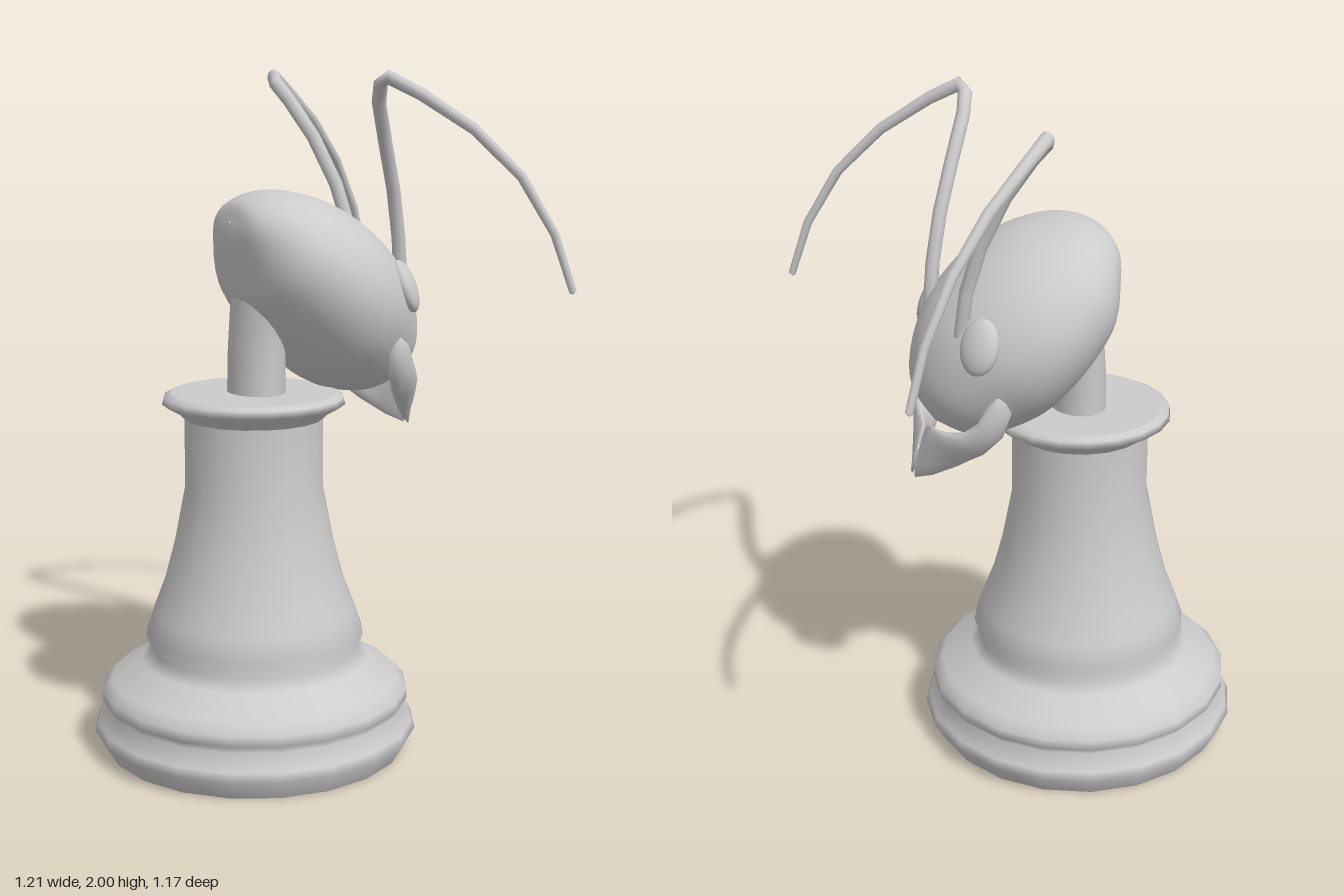
import * as THREE from 'three';

const material = new THREE.MeshStandardMaterial({ color: 0xcccccc });
const V = (x, y, z = 0) => new THREE.Vector3(x, y, z);

function add(group, name, geometry) {
  const mesh = new THREE.Mesh(geometry, material);
  mesh.name = name;
  group.add(mesh);
  return mesh;
}

// Skin through elliptical sections { c: centre, u, v: half axes }
function loft(sections, sides) {
  const positions = [], index = [], last = sections.length - 1;
  sections.forEach(({ c, u, v }, i) => {
    const along = sections[Math.min(i + 1, last)].c.clone().sub(sections[Math.max(i - 1, 0)].c);
    const w = v.clone();
    if (u.clone().cross(w).dot(along) < 0) w.negate();
    for (let j = 0; j < sides; j++) {
      const a = (j / sides) * Math.PI * 2;
      const p = c.clone().addScaledVector(u, Math.cos(a)).addScaledVector(w, Math.sin(a));
      positions.push(p.x, p.y, p.z);
      if (i === last) continue;
      const k = (j + 1) % sides, r = i * sides, n = r + sides;
      index.push(r + j, r + k, n + k, r + j, n + k, n + j);
    }
  });
  const g = new THREE.BufferGeometry();
  g.setAttribute('position', new THREE.Float32BufferAttribute(positions, 3));
  g.setIndex(index);
  g.computeVertexNormals();
  return g;
}

const spline = (points) => new THREE.CatmullRomCurve3(points, false, 'catmullrom', 0.5);

// Turned pedestal; repeated points keep an edge sharp
function pedestal() {
  const profile = [
    [0, 0], [0.45, 0], [0.45, 0], [0.485, 0.06], [0.475, 0.085], [0.44, 0.13], [0.46, 0.155],
    [0.46, 0.185], [0.43, 0.215], [0.34, 0.27], [0.31, 0.3], [0.327, 0.35], [0.303, 0.42],
    [0.272, 0.5], [0.24, 0.62], [0.205, 0.8], [0.205, 1.0], [0.205, 1.0], [0.225, 1.02],
    [0.27, 1.045], [0.265, 1.065], [0.245, 1.075], [0.245, 1.075], [0, 1.075],
  ].map(([r, y]) => new THREE.Vector2(r, y));
  return new THREE.LatheGeometry(profile, 20).translate(-0.118, 0, 0);
}

// Head: upper outline with half width, and lower outline, from back to face
function head() {
  const top = spline([
    [-0.192, 1.575, 0.004], [-0.165, 1.63, 0.115], [-0.08, 1.66, 0.2], [0.02, 1.65, 0.27], [0.12, 1.615, 0.305],
    [0.22, 1.55, 0.315], [0.31, 1.46, 0.29], [0.37, 1.36, 0.235], [0.397, 1.25, 0.17],
    [0.385, 1.175, 0.1], [0.34, 1.1, 0.004],
  ].map((p) => V(...p)));
  const bottom = spline([
    [-0.194, 1.57], [-0.2, 1.52], [-0.19, 1.44], [-0.17, 1.35], [-0.12, 1.27], [-0.05, 1.19],
    [0.02, 1.12], [0.1, 1.075], [0.19, 1.055], [0.26, 1.06], [0.338, 1.098],
  ].map((p) => V(...p)));
  const sections = [];
  for (let i = 0; i <= 40; i++) {
    const t = top.getPoint(i / 40), b = bottom.getPoint(i / 40);
    const width = Math.max(t.z, 0.002);
    t.z = b.z = 0;
    sections.push({
      c: t.clone().add(b).multiplyScalar(0.5),
      u: t.clone().sub(b).multiplyScalar(0.5),
      v: V(0, 0, width),
    });
  }
  return loft(sections, 40);
}

// Neck rising into the back of the head
function neck() {
  return loft([
    [-0.11, 1.06, 0.082, 0.1], [-0.108, 1.2, 0.08, 0.1], [-0.1, 1.32, 0.076, 0.11], [-0.08, 1.42, 0.08, 0.13],
  ].map(([x, y, rx, rz]) => ({ c: V(x, y), u: V(rx, 0), v: V(0, 0, rz) })), 20);
}

// Curved jaw blade: upper edge, lower edge, side offset, half thickness
function mandible(side) {
  const rows = [
    [0.235, 1.243, 0.215, 1.238, 0.243, 0.004], [0.262, 1.22, 0.192, 1.19, 0.24, 0.022],
    [0.29, 1.16, 0.212, 1.12, 0.225, 0.028], [0.322, 1.12, 0.25, 1.06, 0.185, 0.03],
    [0.35, 1.108, 0.31, 1.0, 0.125, 0.026], [0.36, 1.1, 0.37, 0.952, 0.06, 0.02],
    [0.365, 1.09, 0.408, 0.932, 0.014, 0.01], [0.385, 1.02, 0.387, 1.01, 0.012, 0.002],
  ];
  const sections = rows.map(([tx, ty, bx, by, z]) => ({
    c: V((tx + bx) / 2, (ty + by) / 2, z * side),
    u: V((tx - bx) / 2, (ty - by) / 2),
  }));
  sections.forEach((s, i) => {
    const a = sections[Math.max(i - 1, 0)].c, b = sections[Math.min(i + 1, rows.length - 1)].c;
    s.v = s.u.clone().cross(b.clone().sub(a)).normalize().multiplyScalar(rows[i][5]);
  });
  return loft(sections, 12);
}

// Elbowed feeler, thinning towards its tip
function antenna(side) {
  const points = [
    [0.3, 1.39, 0.132], [0.285, 1.52, 0.142], [0.25, 1.66, 0.168], [0.195, 1.8, 0.21],
    [0.14, 1.91, 0.265], [0.118, 1.96, 0.31], [0.125, 1.98, 0.335], [0.2, 1.935, 0.385],
    [0.33, 1.84, 0.455], [0.45, 1.71, 0.515], [0.54, 1.55, 0.553], [0.592, 1.39, 0.575],
  ].map(([x, y, z]) => V(x, y, z * side));
  const last = points.length - 1;
  const sections = points.map((c, i) => {
    const along = points[Math.min(i + 1, last)].clone().sub(points[Math.max(i - 1, 0)]).normalize();
    const radius = i < 7 ? 0.021 : 0.021 - 0.002 * (i - 6);
    const u = V(0.7, 0.3, -0.65 * side).cross(along).normalize();
    return { c, u: u.clone().multiplyScalar(radius), v: along.cross(u).multiplyScalar(radius) };
  });
  // Closed ends
  for (const end of [sections[0], sections[last]]) {
    const cap = { c: end.c.clone(), u: end.u.clone().multiplyScalar(0.02), v: end.v.clone().multiplyScalar(0.02) };
    cap.c.y -= 0.008;
    if (end === sections[0]) sections.unshift(cap);
    else sections.push(cap);
  }
  return loft(sections, 8);
}

export function createModel() {
  const model = new THREE.Group();
  model.name = 'antChessPiece';
  add(model, 'pedestal', pedestal());
  add(model, 'neck', neck());
  add(model, 'head', head());

  for (const side of [1, -1]) {
    const label = side > 0 ? 'left' : 'right';
    add(model, label + 'Mandible', mandible(side));
    add(model, label + 'Antenna', antenna(side));
    const eye = add(model, label + 'Eye', new THREE.SphereGeometry(1, 20, 14));
    eye.scale.set(0.06, 0.08, 0.03);
    eye.position.set(0.272, 1.385, 0.208 * side);
    eye.lookAt(0.272 + 0.75, 1.385 + 0.35, (0.208 + 0.55) * side);
  }
  return model;
}
